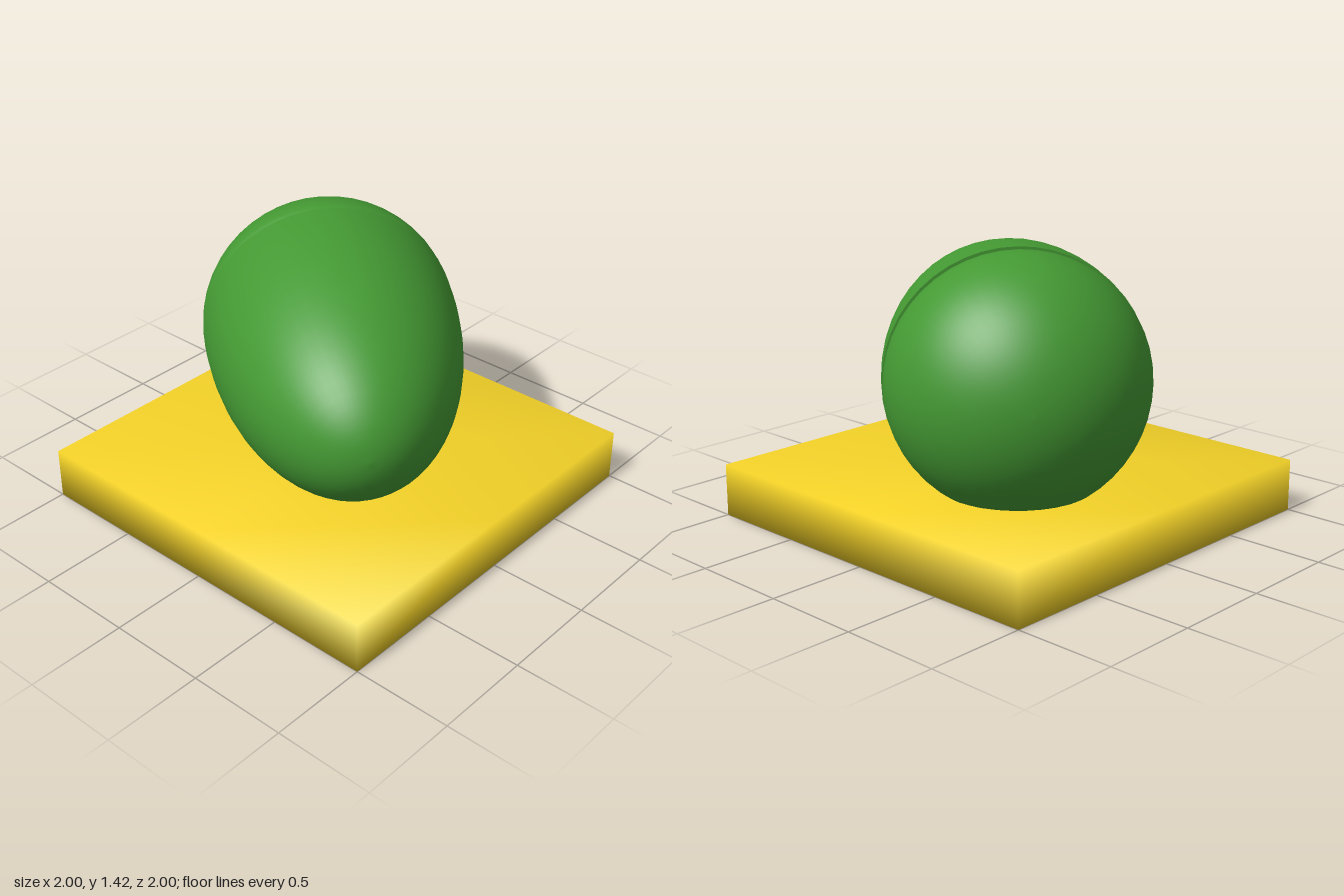
import * as THREE from 'three';
import { mergeVertices } from 'three/addons/utils/BufferGeometryUtils.js';

const R = 0.64;       // egg radius at the seam
const SEAM = -0.327;  // seam position along the egg's axis

// Lathe a profile of [radius, distance along axis] pairs and lay it along +z
function turned(name, profile, material) {
  const points = profile.map(([r, s]) => new THREE.Vector2(r, s));
  const geometry = new THREE.LatheGeometry(points, 48).rotateX(Math.PI / 2);
  const mesh = new THREE.Mesh(geometry, material);
  mesh.name = name;
  return mesh;
}

export function createModel() {
  const model = new THREE.Group();
  model.name = 'eggOnSlab';
  const green = new THREE.MeshStandardMaterial({ color: 0x449933 });
  const yellow = new THREE.MeshStandardMaterial({ color: 0xf5d328 });

  // Square slab with soft shading across its edges
  const box = new THREE.BoxGeometry(2, 0.265, 2, 2, 1, 2);
  box.deleteAttribute('normal');
  box.deleteAttribute('uv');
  const slabGeometry = mergeVertices(box);
  slabGeometry.computeVertexNormals();
  const slab = new THREE.Mesh(slabGeometry, yellow);
  slab.name = 'slab';
  slab.position.y = 0.1325;
  model.add(slab);

  // Egg lying on its side, sunk into the slab and turned diagonally
  const egg = new THREE.Group();
  egg.name = 'egg';
  egg.position.y = 0.78;
  egg.rotation.y = Math.atan2(0.767, 0.642);
  model.add(egg);

  const steps = 20;

  // Blunt round end, dipping into a shallow groove at the seam
  const back = [];
  for (let i = 0; i < steps; i++) {
    const a = (i / steps) * (Math.PI / 2 - 0.08);
    back.push([R * Math.sin(a), SEAM - R * Math.cos(a)]);
  }
  back.push([R - 0.004, SEAM - 0.05], [R - 0.012, SEAM - 0.02], [R - 0.022, SEAM]);
  egg.add(turned('bluntEnd', back, green));

  // Long tapered end, twice as long as the blunt one
  const front = [];
  for (let i = 0; i <= steps; i++) {
    const a = (i / steps) * Math.PI / 2;
    front.push([i === steps ? 0 : R * Math.cos(a), SEAM + 2 * R * Math.sin(a)]);
  }
  egg.add(turned('taperedEnd', front, green));

  // Flat rim closing the step at the seam
  egg.add(turned('seamRim', [[R - 0.03, SEAM], [R, SEAM]], green));

  return model;
}
